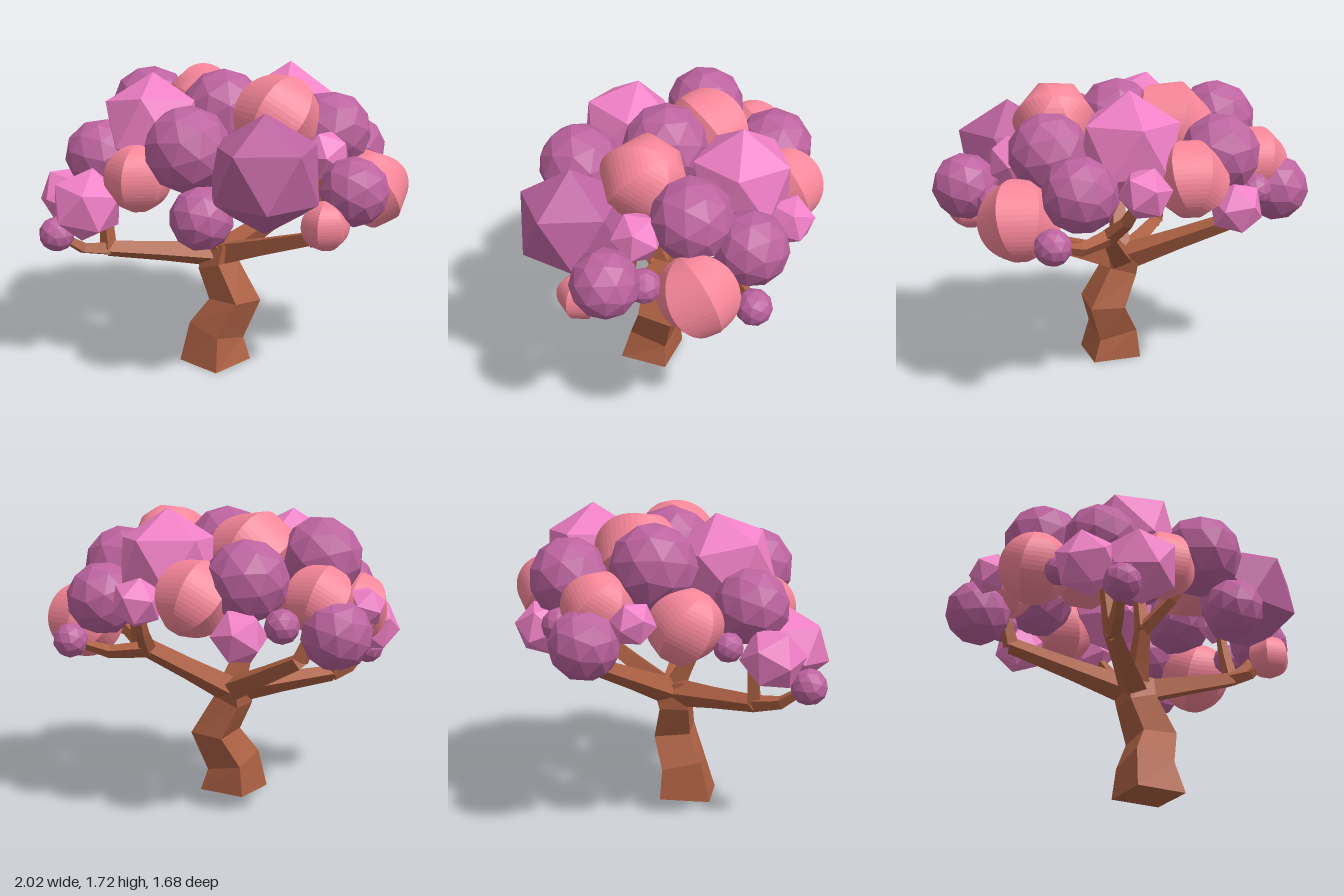
import * as THREE from 'three';

const mat = (color) => new THREE.MeshStandardMaterial({ color, flatShading: true });
const bark = mat(0xac6043);
const purple = mat(0xbd639f);
const pink = mat(0xf080c6);
const salmon = mat(0xf78699);
const vec = ([x, y, z]) => new THREE.Vector3(x, y, z);

// Four-sided limb through centres, with one radius per centre
function limb(name, centres, radii) {
  const SIDES = 4;
  const up = new THREE.Vector3(0, 1, 0);
  const pos = [];
  const idx = [];
  const last = centres.length - 1;
  centres.forEach((c, i) => {
    const dir = centres[Math.min(i + 1, last)].clone().sub(centres[Math.max(i - 1, 0)]).normalize();
    if (c.y === 0) dir.copy(up); // flat foot on the ground
    const turn = new THREE.Quaternion().setFromUnitVectors(up, dir);
    for (let s = 0; s < SIDES; s++) {
      const a = 0.445 + (s / SIDES) * Math.PI * 2;
      const v = new THREE.Vector3(Math.sin(a), 0, Math.cos(a)).multiplyScalar(radii[i]);
      v.applyQuaternion(turn).add(c);
      pos.push(v.x, v.y, v.z);
    }
  });
  for (let i = 0; i < last; i++) {
    for (let s = 0; s < SIDES; s++) {
      const a = i * SIDES + s;
      const b = i * SIDES + ((s + 1) % SIDES);
      idx.push(a, b, b + SIDES, a, b + SIDES, a + SIDES);
    }
  }
  const e = last * SIDES;
  idx.push(0, 2, 1, 0, 3, 2, e, e + 1, e + 2, e, e + 2, e + 3);
  const geo = new THREE.BufferGeometry();
  geo.setAttribute('position', new THREE.Float32BufferAttribute(pos, 3));
  geo.setIndex(idx);
  const flat = geo.toNonIndexed();
  flat.computeVertexNormals();
  const mesh = new THREE.Mesh(flat, bark);
  mesh.name = name;
  return mesh;
}

// Leaf clumps: x, y, z, radius
const ROUND = [
  [-0.04, 1.47, 0.06, 0.245], [-0.61, 1.44, -0.15, 0.235], [-0.28, 1.35, -0.55, 0.225],
  [-0.75, 1.08, -0.53, 0.19], [-0.48, 1.13, -0.63, 0.095], [0.56, 1.22, -0.41, 0.205],
  [0.54, 1.38, -0.1, 0.225], [0.75, 0.98, -0.43, 0.1], [0.815, 1.16, 0.33, 0.185],
  [-0.035, 1.35, 0.54, 0.236], [0.095, 1.02, 0.66, 0.172], [-0.67, 1.23, 0.36, 0.205],
  [-0.81, 0.82, 0.64, 0.1], [0.75, 1.1, 0.14, 0.095], [-0.82, 1.05, 0.2, 0.08],
];
const FACETED = [
  [-0.37, 1.41, 0.29, 0.295], [-0.87, 1.2, -0.3, 0.12], [-0.27, 1.08, -0.7, 0.155],
  [0.3, 1.23, -0.62, 0.145], [-0.85, 0.99, 0.43, 0.175], [-0.63, 1, 0.6, 0.212],
  [0.6, 1.3, 0.18, 0.145],
];
// Six-sided clumps also carry a tilt
const RIBBED = [
  [-0.24, 1.46, -0.17, 0.25, 0.9], [0.32, 1.48, 0.16, 0.24, -0.6],
  [-0.65, 1.25, -0.45, 0.19, 0.6], [-0.79, 1.16, -0.02, 0.2, 0.5],
  [-0.01, 1.26, -0.615, 0.21, 0.6], [0.765, 1.06, -0.14, 0.222, 0.5],
  [0.71, 1, 0.47, 0.13, 0], [-0.35, 1.16, 0.52, 0.187, 0],
];

// Boughs run to an elbow, then fork towards clumps
const BOUGHS = [
  { elbow: [-0.62, 0.69, 0.4], tips: [ROUND[12], ROUND[11]] },
  { elbow: [0.57, 0.86, 0.28], tips: [RIBBED[6], ROUND[8], FACETED[6]] },
  { elbow: [-0.15, 0.95, 0.2], tips: [ROUND[9], ROUND[0]] },
  { elbow: [0.33, 0.93, -0.34], tips: [ROUND[7], FACETED[3]] },
  { elbow: [-0.55, 0.92, -0.46], tips: [RIBBED[2]] },
];

export function createModel() {
  const tree = new THREE.Group();
  tree.name = 'tree';

  // Crooked trunk
  const trunkPath = [
    [-0.06, 0, 0.157], [-0.06, 0.18, 0.135], [0.04, 0.37, 0.095],
    [-0.07, 0.57, 0.08], [-0.06, 0.69, 0.05],
  ];
  tree.add(limb('trunk', trunkPath.map(vec), [0.207, 0.165, 0.15, 0.12, 0.125]));

  // Boughs and their forks
  const branches = new THREE.Group();
  branches.name = 'branches';
  const crotch = new THREE.Vector3(-0.06, 0.63, 0.06);
  BOUGHS.forEach(({ elbow, tips }) => {
    const bend = vec(elbow);
    branches.add(limb('bough', [crotch, crotch.clone().lerp(bend, 0.5), bend], [0.085, 0.062, 0.048]));
    tips.forEach((tip) => {
      const end = vec(tip);
      const knee = bend.clone().lerp(end, 0.5);
      knee.y -= 0.04;
      branches.add(limb('fork', [bend, knee, end], [0.048, 0.037, 0.022]));
    });
  });
  tree.add(branches);

  // Crown of leaf clumps
  const crown = new THREE.Group();
  crown.name = 'crown';
  const ball = new THREE.IcosahedronGeometry(1, 1);
  const gem = new THREE.IcosahedronGeometry(1, 0);
  const ribbed = new THREE.SphereGeometry(1, 6, 24).rotateY(Math.PI / 2);
  const clump = (name, geo, material, [x, y, z, r], rx, ry, rz) => {
    const mesh = new THREE.Mesh(geo, material);
    mesh.name = name;
    mesh.position.set(x, y, z);
    mesh.scale.setScalar(r);
    mesh.rotation.set(rx, ry, rz);
    crown.add(mesh);
  };
  ROUND.forEach((c, i) => clump('roundClump', ball, purple, c, i * 1.3, i * 0.7, i * 0.4));
  FACETED.forEach((c, i) => clump('facetedClump', gem, pink, c, 1.2 + i * 0.8, 1.1 + i * 1.1, 0.2));
  RIBBED.forEach((c) => clump('ribbedClump', ribbed, salmon, c, c[4], 0, c[4] * 0.6));
  // Two large clumps stand on a corner
  const onCorner = Math.atan(2 / (1 + Math.sqrt(5)));
  clump('topFacetedClump', gem, pink, [0.2, 1.42, -0.36, 0.3], 0, 0.54, onCorner);
  clump('frontFacetedClump', gem, purple, [0.4, 1.255, 0.535, 0.32], 0, 0.1, onCorner);
  tree.add(crown);

  return tree;
}
